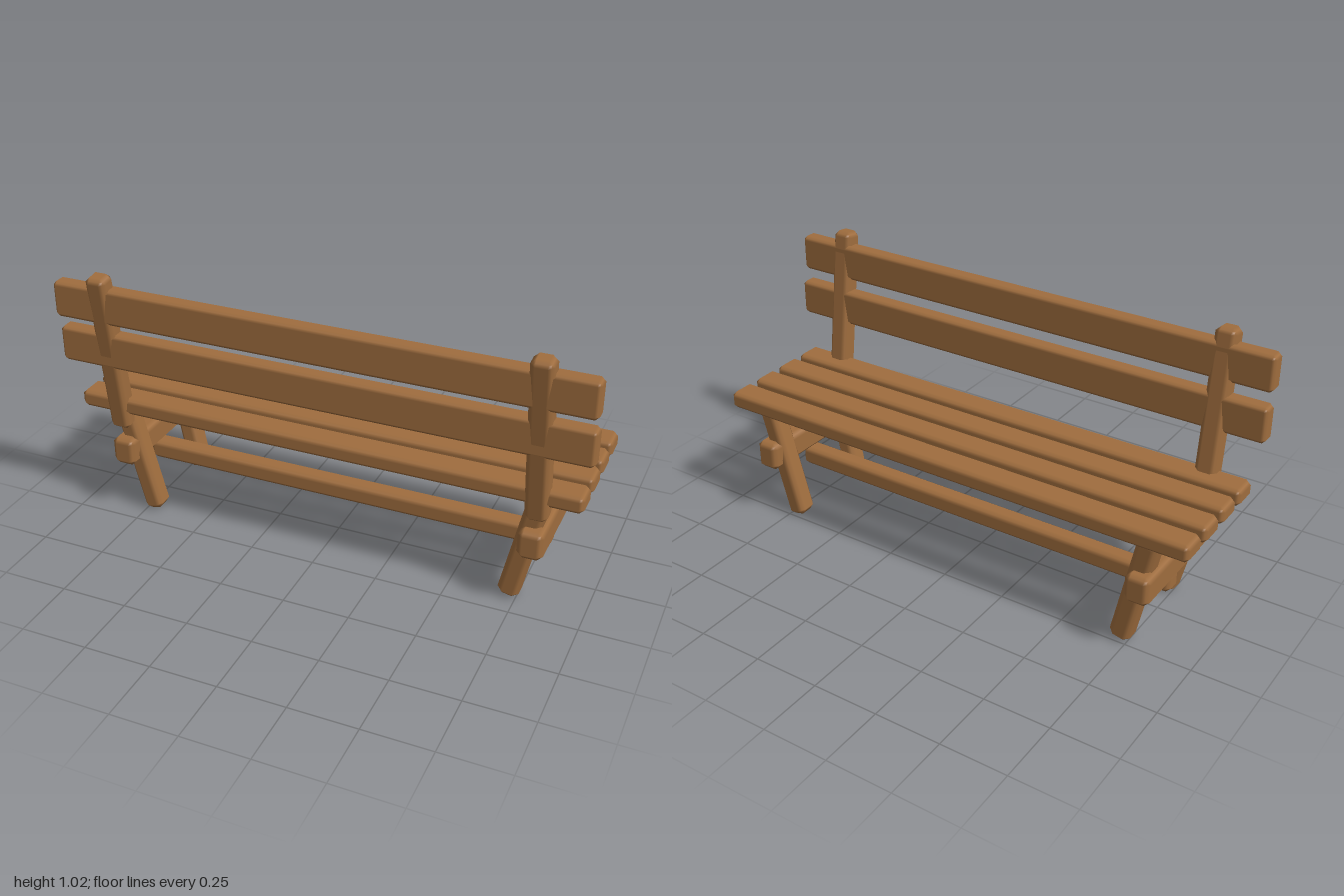
import * as THREE from 'three';

// Box with single-step chamfers and softly shaded edges
function chamferBox(w, h, d, r) {
  const g = new THREE.BoxGeometry(1, 1, 1, 3, 3, 3);
  const pos = g.attributes.position, nor = g.attributes.normal;
  const half = [w / 2 - r, h / 2 - r, d / 2 - r];
  for (let i = 0; i < pos.count; i++) {
    const p = [pos.getX(i), pos.getY(i), pos.getZ(i)];
    // outward direction: non-zero only on the axes where the vertex touches the surface
    const n = p.map(v => (Math.abs(v) > 0.4 ? Math.sign(v) : 0));
    const sum = Math.abs(n[0]) + Math.abs(n[1]) + Math.abs(n[2]);
    const q = p.map((v, k) => Math.sign(v) * half[k] + (n[k] * r) / sum);
    const len = Math.sqrt(sum);
    pos.setXYZ(i, q[0], q[1], q[2]);
    nor.setXYZ(i, n[0] / len, n[1] / len, n[2] / len);
  }
  return g;
}

export function createModel() {
  const bench = new THREE.Group();
  bench.name = 'bench';
  const wood = new THREE.MeshStandardMaterial({ color: 0x9f6d3e });
  wood.name = 'brown wood';

  function beam(name, size, chamfer, position, rotation = [0, 0, 0]) {
    const m = new THREE.Mesh(chamferBox(...size, chamfer), wood);
    m.name = name;
    m.position.set(...position);
    m.rotation.set(...rotation);
    bench.add(m);
  }

  // Seat planks
  for (const z of [0.164, 0.031, -0.102, -0.236]) {
    beam('seatPlank', [1.94, 0.068, 0.11], 0.018, [0, 0.473, z]);
  }

  // Backrest slats
  beam('upperBackSlat', [2, 0.138, 0.067], 0.015, [0, 0.905, 0.2535]);
  beam('lowerBackSlat', [2, 0.138, 0.067], 0.015, [0, 0.721, 0.234]);

  // Stretcher between the two ends
  beam('stretcher', [1.64, 0.08, 0.08], 0.02, [0, 0.17, -0.035]);

  // Mirrored ends: leaning post, side rail and two splayed legs
  for (const s of [1, -1]) {
    beam('backPost', [0.082, 0.65, 0.08], 0.02, [s * 0.81, 0.7, 0.227], [0.135, 0, 0]);
    beam('sideRail', [0.095, 0.115, 0.538], 0.022, [s * 0.8, 0.278, -0.036]);
    beam('backLeg', [0.08, 0.46, 0.088], 0.022, [s * 0.766, 0.235, 0.144], [0.045, 0, -s * 0.22]);
    beam('frontLeg', [0.08, 0.46, 0.088], 0.022, [s * 0.766, 0.235, -0.218], [-0.045, 0, -s * 0.22]);
  }
  return bench;
}
